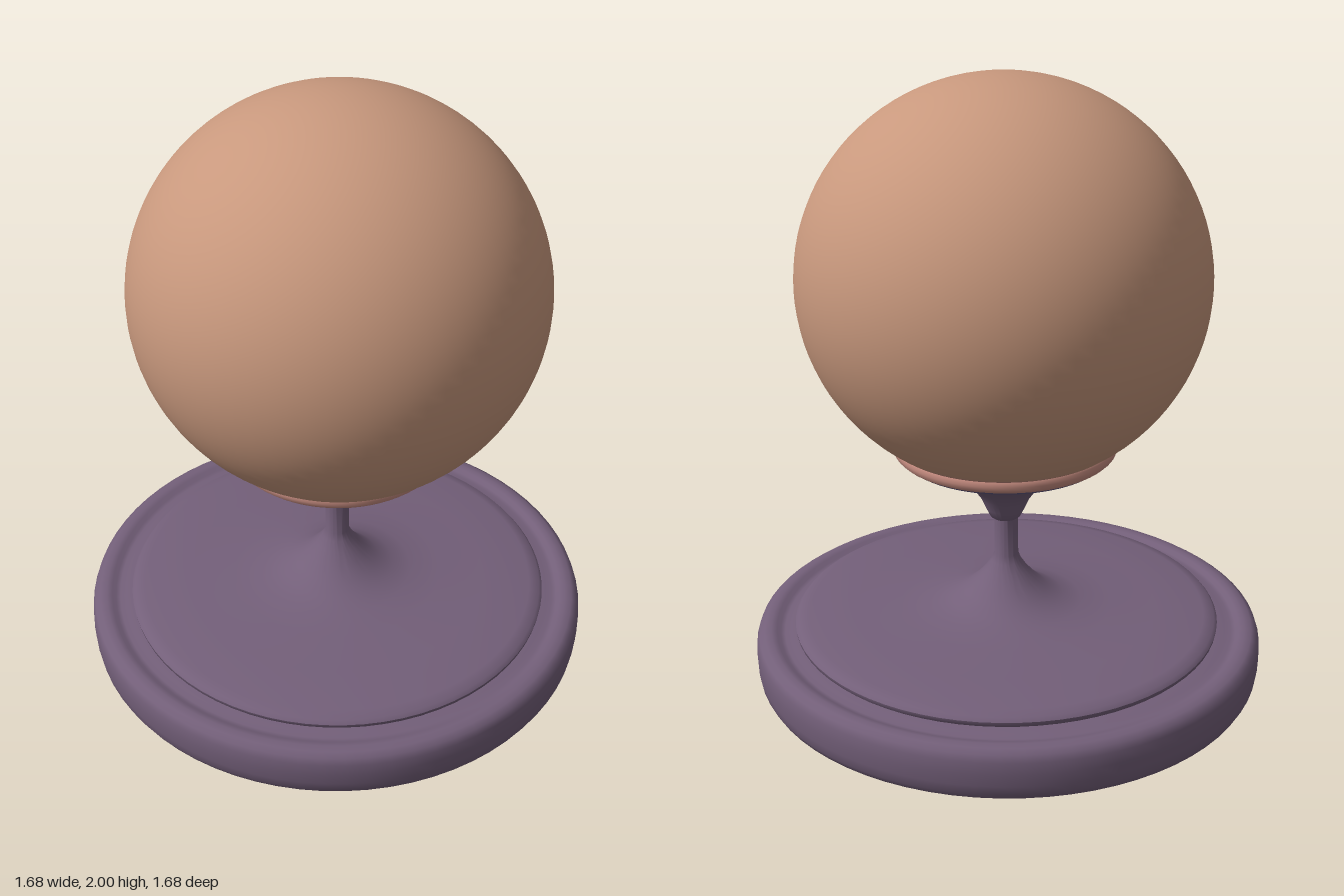
import * as THREE from 'three';
import { toCreasedNormals } from 'three/addons/utils/BufferGeometryUtils.js';

const SEGMENTS = 72;

function createModel() {
  const model = new THREE.Group();
  model.name = 'globeOnPedestal';

  const material = (name, color) => {
    const m = new THREE.MeshStandardMaterial({ color });
    m.name = name;
    return m;
  };
  const purple = material('dusty purple', 0x735f79);
  const tan = material('warm tan', 0xc8987d);
  const pink = material('dusky pink', 0xc68c80);
  const slate = material('slate violet', 0x625a82);
  const navy = material('dark navy', 0x342d60);

  const add = (name, geometry, mat, x = 0, y = 0, z = 0) => {
    const mesh = new THREE.Mesh(geometry, mat);
    mesh.name = name;
    mesh.position.set(x, y, z);
    model.add(mesh);
    return mesh;
  };
  // Profiles run from bottom to top as [radius, height]
  const lathe = (points, crease = 0.8) => toCreasedNormals(
    new THREE.LatheGeometry(points.map(([r, y]) => new THREE.Vector2(r, y)), SEGMENTS), crease);

  // Wide base with rounded edges and a shallow groove inside the top edge
  add('base', lathe([
    [0.805, 0], [0.822, 0.01], [0.833, 0.03], [0.838, 0.06], [0.84, 0.1],
    [0.838, 0.14], [0.83, 0.163], [0.812, 0.175], [0.79, 0.178],
    [0.772, 0.175], [0.76, 0.166], [0.745, 0.164], [0.725, 0.17], [0.66, 0.172],
  ]), purple);

  // Dark underside
  const underside = add('underside', new THREE.CircleGeometry(0.806, SEGMENTS), navy);
  underside.rotation.x = Math.PI / 2;

  // Raised disc sweeping up into the slim stem
  add('stemFoot', lathe([
    [0.69, 0.165], [0.703, 0.178], [0.705, 0.19], [0.695, 0.202], [0.66, 0.21],
    [0.5, 0.22], [0.35, 0.23], [0.25, 0.24], [0.19, 0.258], [0.14, 0.285],
    [0.1, 0.32], [0.07, 0.355], [0.05, 0.385], [0.04, 0.41], [0.038, 0.545],
  ]), purple, 0.002, 0, 0.01);

  // Flared cup carrying the ball
  add('cup', lathe([
    [0.036, 0.535], [0.05, 0.545], [0.065, 0.575], [0.08, 0.61], [0.105, 0.645],
    [0.15, 0.682], [0.21, 0.715], [0.28, 0.745], [0.335, 0.768],
  ]), purple, 0.003, 0, 0.015);

  // Narrow edge under the lip
  add('cupEdge', lathe([[0.335, 0.768], [0.353, 0.78]]), slate, 0.003, 0, 0.015);

  // Thin lip around the cup
  add('cupRim', lathe([
    [0.353, 0.78], [0.361, 0.788], [0.364, 0.802], [0.363, 0.815],
    [0.357, 0.825], [0.345, 0.829], [0.29, 0.829],
  ]), pink, 0.003, 0, 0.015);

  // Large ball, very slightly flattened, with a pink band where it meets the cup
  const radius = 0.655, height = 0.645, bandAngle = 2.53;
  const ballPart = (name, mat, start, length, rows) => add(name,
    new THREE.SphereGeometry(radius, SEGMENTS, rows, 0, Math.PI * 2, start, length)
      .scale(1, height / radius, 1), mat, 0.006, 1.355, 0.02);
  ballPart('ball', tan, 0, bandAngle, 40);
  ballPart('ballSeat', pink, bandAngle, Math.PI - bandAngle, 10);

  return model;
}

export { createModel };
